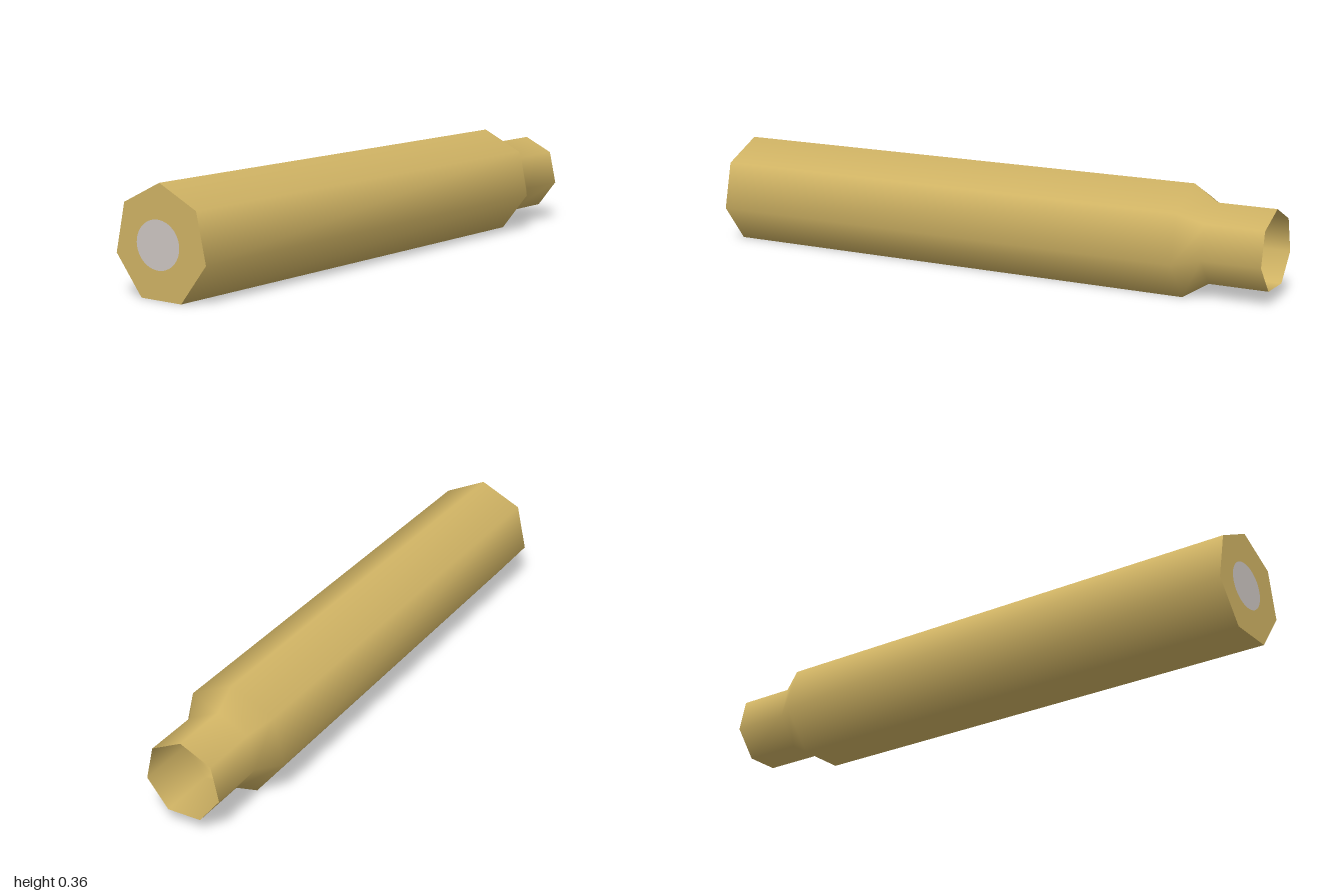
import * as THREE from 'three';

const SIDES = 7, R_BODY = 0.187, R_NECK = 0.133, AXIS_Y = 0.169;

export function createModel() {
  const group = new THREE.Group();
  const brass = new THREE.MeshStandardMaterial({ color: 0xd2b565, side: THREE.DoubleSide });
  brass.name = 'brass';
  const steel = new THREE.MeshStandardMaterial({ color: 0xcfc8c4, side: THREE.DoubleSide });
  steel.name = 'steel';

  const add = (name, geometry, material) => {
    const mesh = new THREE.Mesh(geometry, material);
    mesh.name = name;
    mesh.position.y = AXIS_Y;
    group.add(mesh);
  };

  // Thin open casing: long body, sloped shoulder, narrow neck, one corner on top
  const profile = [[R_BODY, -1], [R_BODY, 0.72], [R_NECK, 0.8], [R_NECK, 1]]
    .map(([r, x]) => new THREE.Vector2(r, x));
  add('casing', new THREE.LatheGeometry(profile, SIDES, -Math.PI / 2).rotateZ(-Math.PI / 2), brass);

  // Flat base with a round opening for the primer
  const base = new THREE.Shape(Array.from({ length: SIDES }, (_, i) => {
    const a = Math.PI / 2 + i * 2 * Math.PI / SIDES;
    return new THREE.Vector2(R_BODY * Math.cos(a), R_BODY * Math.sin(a));
  }));
  const primerOutline = new THREE.Path().absellipse(-0.01, -0.001, 0.087, 0.077, 0, Math.PI * 2, true);
  base.holes.push(primerOutline);
  add('base', new THREE.ShapeGeometry(base, 24).rotateY(-Math.PI / 2).translate(-1, 0, 0), brass);

  // Primer disc filling the opening
  const primer = new THREE.Shape(primerOutline.getPoints(24));
  add('primer', new THREE.ShapeGeometry(primer).rotateY(-Math.PI / 2).translate(-1, 0, 0), steel);

  return group;
}
